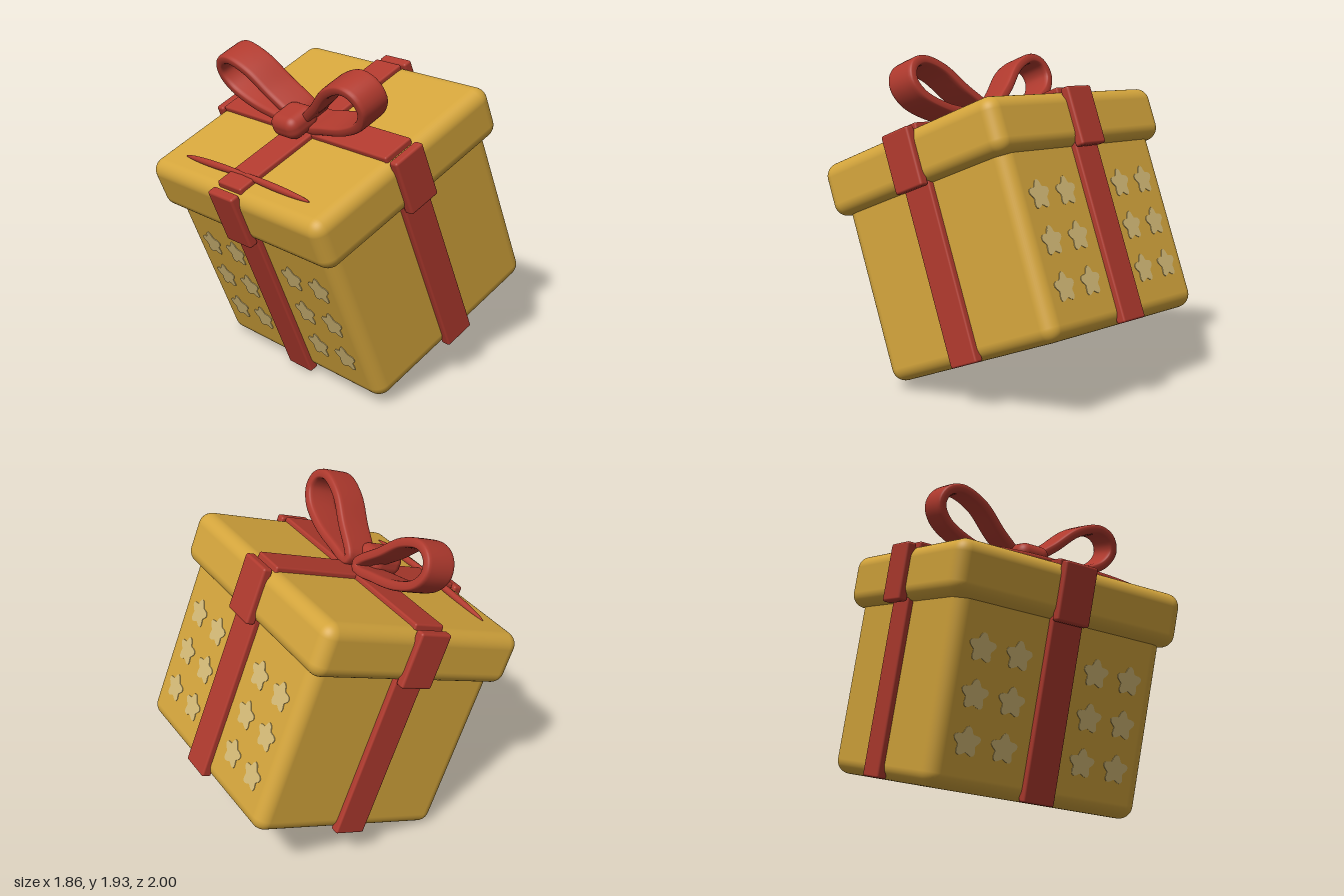
import * as THREE from 'three';
import { RoundedBoxGeometry } from 'three/addons/geometries/RoundedBoxGeometry.js';

const mat = (name, color, side = THREE.FrontSide) => {
  const m = new THREE.MeshStandardMaterial({ color, side });
  m.name = name;
  return m;
};

// Ribbon swept round a closed centre line in the xy plane, with a rounded cross-section
function loopGeometry(points, halfThick, halfWidth) {
  const curve = new THREE.CatmullRomCurve3(points.map(([x, y]) => new THREE.Vector3(x, y, 0)), true, 'centripetal');
  const steps = 72, ring = 20, pos = [], index = [];
  const round = (c, p) => Math.sign(c) * Math.abs(c) ** p;
  for (let i = 0; i < steps; i++) {
    const p = curve.getPointAt(i / steps), t = curve.getTangentAt(i / steps);
    for (let j = 0; j < ring; j++) {
      const a = (j / ring) * Math.PI * 2;
      const n = halfThick * round(Math.cos(a), 0.5), w = halfWidth * round(Math.sin(a), 0.3);
      pos.push(p.x - t.y * n, p.y + t.x * n, w);
      const a0 = i * ring + j, a1 = i * ring + (j + 1) % ring;
      const b0 = ((i + 1) % steps) * ring + j, b1 = ((i + 1) % steps) * ring + (j + 1) % ring;
      index.push(a0, a1, b0, a1, b1, b0);
    }
  }
  const g = new THREE.BufferGeometry();
  g.setAttribute('position', new THREE.Float32BufferAttribute(pos, 3));
  g.setIndex(index);
  g.computeVertexNormals();
  return g;
}

export function createModel() {
  const gold = mat('gold card', 0xd4a53c);
  const red = mat('red ribbon', 0xb03a2e);
  const redLoop = mat('red bow', 0xb03a2e, THREE.DoubleSide);
  const cream = mat('pale star', 0xd6bc78);

  // Everything is built upright around the lid centre, then the gift is tilted
  const gift = new THREE.Group();
  gift.name = 'gift';
  const add = (name, geometry, material, x = 0, y = 0, z = 0, parent = gift) => {
    const m = new THREE.Mesh(geometry, material);
    m.name = name;
    m.position.set(x, y, z);
    parent.add(m);
    return m;
  };
  const rbox = (w, h, d, r, s = 3) => new RoundedBoxGeometry(w, h, d, s, r);

  // Box and lid
  add('boxBody', rbox(1.368, 1.2, 1.288, 0.08, 5), gold, 0, -0.578, 0);
  add('lid', rbox(1.5, 0.32, 1.4, 0.08, 5), gold);

  // Vertical bands on the four sides
  const sides = [['front', 0, 0.644, 0.7], ['right', -Math.PI / 2, 0.684, 0.75],
    ['back', Math.PI, 0.644, 0.7], ['left', Math.PI / 2, 0.684, 0.75]];
  for (const [side, angle, bodyDist, lidDist] of sides) {
    const holder = new THREE.Group();
    holder.name = side + 'Bands';
    holder.rotation.y = angle;
    gift.add(holder);
    add(side + 'BodyBand', rbox(0.2, 1.06, 0.06, 0.012), red, 0, -0.646, bodyDist + 0.005, holder);
    add(side + 'LidBand', rbox(0.215, 0.342, 0.06, 0.015), red, 0, 0, lidDist + 0.005, holder);
  }

  // Crossed bands over the lid
  add('topBandLengthwise', rbox(0.205, 0.05, 1.31, 0.012), red, 0, 0.163, 0);
  add('topBandCrosswise', rbox(1.41, 0.05, 0.205, 0.012), red, 0, 0.163, 0);

  // Bow loops and knot
  const loop = loopGeometry([[0.04, 0.235], [0.2, 0.378], [0.34, 0.502], [0.49, 0.555], [0.575, 0.52],
    [0.604, 0.44], [0.555, 0.352], [0.4, 0.27], [0.2, 0.225], [0.06, 0.205]], 0.03, 0.1);
  add('leftLoop', loop, redLoop);
  add('rightLoop', loop, redLoop).rotation.y = Math.PI;
  add('knot', rbox(0.212, 0.142, 0.22, 0.06, 5), red, -0.005, 0.259, 0.105);

  // Slim ribbon tails lying on the lid
  for (const s of [1, -1]) {
    const tail = add(s > 0 ? 'leftTail' : 'rightTail', new THREE.SphereGeometry(1, 24, 12), red, s * 0.25, 0.173, 0.54);
    tail.scale.set(0.3, 0.022, 0.02);
    tail.rotation.z = -s * 0.04;
  }

  // Blunt stars on the front and back
  const pts = [];
  for (let i = 0; i < 40; i++) {
    const a = (i / 40) * Math.PI * 2;
    const r = 0.071 + 0.015 * Math.cos(5 * a);
    pts.push(new THREE.Vector2(r * Math.sin(-a), r * Math.cos(a)));
  }
  const star = new THREE.ExtrudeGeometry(new THREE.Shape(pts), { depth: 0.006, bevelEnabled: false });
  for (const [side, angle] of [['front', 0], ['back', Math.PI]]) {
    const holder = new THREE.Group();
    holder.name = side + 'Stars';
    holder.rotation.y = angle;
    gift.add(holder);
    for (const x of [-0.485, -0.255, 0.255, 0.485])
      for (const y of [-0.4, -0.655, -0.91]) add('star', star, cream, x, y, 0.642, holder);
  }

  // Tilt of the whole gift
  const u = new THREE.Vector3(0.952, 0.0286, 0.305).normalize();
  const w = u.clone().cross(new THREE.Vector3(-0.135, 0.932, 0.336)).normalize();
  const v = w.clone().cross(u);
  gift.quaternion.setFromRotationMatrix(new THREE.Matrix4().makeBasis(u, v, w));
  gift.position.set(-0.032, 1.347, 0.131);

  const model = new THREE.Group();
  model.name = 'giftBox';
  model.add(gift);
  return model;
}
